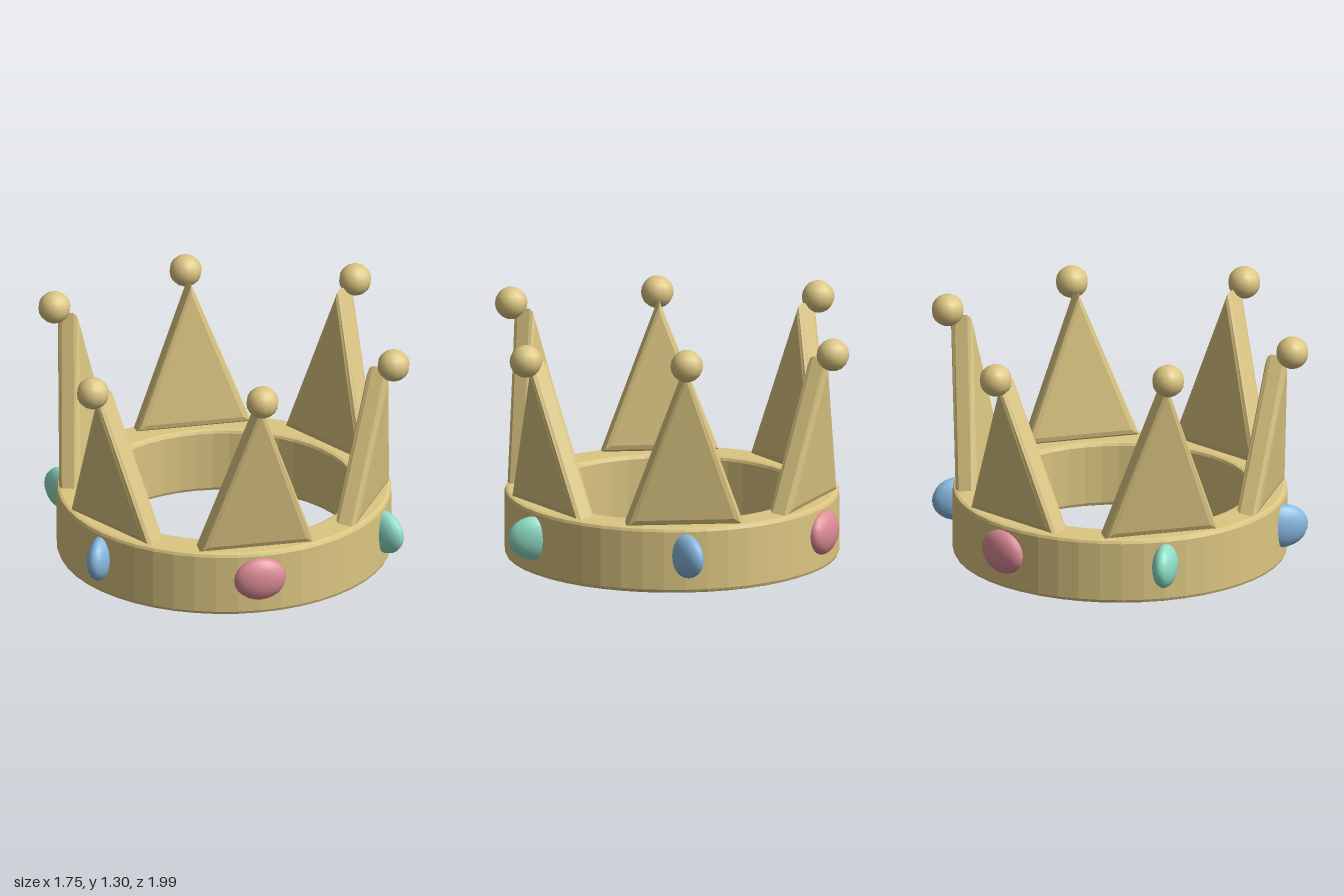
import * as THREE from 'three';

const material = (name, color) => {
  const m = new THREE.MeshStandardMaterial({ color });
  m.name = name;
  return m;
};

// Circular band with chamfered rims
function bandGeometry() {
  const bevel = 0.02;
  const ring = new THREE.Shape().absarc(0, 0, 0.86 - bevel, 0, Math.PI * 2);
  ring.holes.push(new THREE.Path().absarc(0, 0, 0.667 + bevel, 0, Math.PI * 2, true));
  const geo = new THREE.ExtrudeGeometry(ring, {
    depth: 0.345 - 2 * bevel, curveSegments: 24,
    bevelSize: bevel, bevelThickness: bevel, bevelSegments: 2,
  });
  return geo.translate(0, 0, bevel).rotateX(-Math.PI / 2);
}

// Bevelled triangular point standing on y = 0
function spikeGeometry(height) {
  const shape = new THREE.Shape([
    new THREE.Vector2(-0.255, 0.035),
    new THREE.Vector2(0.255, 0.035),
    new THREE.Vector2(0, height - 0.057),
  ]);
  const geo = new THREE.ExtrudeGeometry(shape, {
    depth: 0.067, bevelSize: 0.04, bevelThickness: 0.025, bevelSegments: 2,
  });
  return geo.translate(0, 0, -0.0335);
}

export function createModel() {
  const gold = material('gold', 0xdcc682);
  const gems = [
    material('pink', 0xdc8c96),
    material('green', 0x8fdfc8),
    material('blue', 0x88b8e0),
  ];
  const crown = new THREE.Group();
  crown.name = 'crown';

  const add = (parent, name, geo, mat) => {
    const mesh = new THREE.Mesh(geo, mat);
    mesh.name = name;
    parent.add(mesh);
    return mesh;
  };

  add(crown, 'band', bandGeometry(), gold);

  const spikes = [spikeGeometry(0.855), spikeGeometry(0.78)];
  const ball = new THREE.SphereGeometry(0.084, 12, 10);
  const jewel = new THREE.SphereGeometry(1, 16, 12).scale(0.137, 0.115, 0.062);

  // Six points, alternately tall and short, each with a ball and a jewel
  for (let i = 0; i < 6; i++) {
    const angle = (i * Math.PI) / 3;
    const point = new THREE.Group();
    point.name = 'point' + (i + 1);
    point.rotation.y = angle;
    crown.add(point);

    const spike = add(point, 'spike', spikes[i % 2], gold);
    spike.position.set(0, 0.348, 0.745);
    spike.rotation.x = 0.115;

    add(point, 'ballTip', ball, gold).position.set(0, i % 2 ? 1.145 : 1.22, 0.913);

    // The jewels turn the opposite way, so the side ones stand out from the band
    const gem = add(point, 'jewel', jewel, gems[i % 3]);
    gem.position.set(0, 0.2, 0.86);
    gem.rotation.y = -2 * angle;
  }
  return crown;
}
